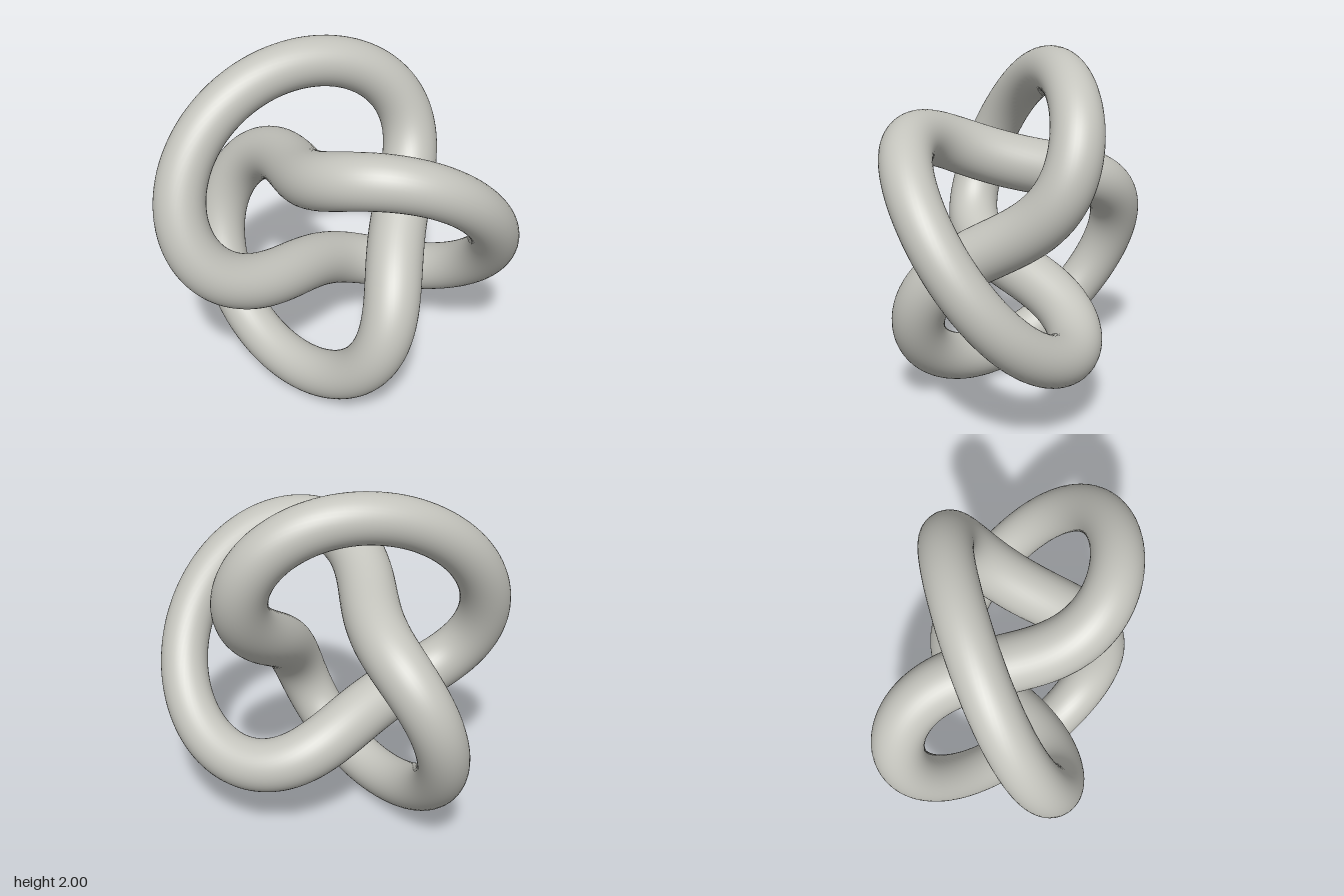
import * as THREE from 'three';
import { ParametricGeometry } from 'three/addons/geometries/ParametricGeometry.js';

// Trefoil path: winds twice round the z axis while circling the ring three times
const RING = 0.646, SWING = 0.2665, DEPTH = 0.443, OFFSET_X = -0.09;

function pathPoint(a, target) {
  const r = RING + SWING * Math.cos(1.5 * a);
  return target.set(
    OFFSET_X + r * Math.cos(a),
    1 + r * Math.sin(a),
    DEPTH * Math.sin(1.5 * a)
  );
}

// Slightly slimmer at the outer lobes, fuller on the inner strands
const tubeRadius = (a) => 0.146 - 0.012 * Math.cos(1.5 * a);

const centre = new THREE.Vector3();
const before = new THREE.Vector3();
const tangent = new THREE.Vector3();
const side = new THREE.Vector3();
const up = new THREE.Vector3();

// Round cross-section held square to the path
function tubeSurface(u, v, target) {
  const a = u * Math.PI * 4;
  const w = v * Math.PI * 2;
  pathPoint(a, centre);
  pathPoint(a - 0.001, before);
  pathPoint(a + 0.001, tangent).sub(before).normalize();
  side.set(tangent.y, -tangent.x, 0).normalize();
  up.crossVectors(side, tangent);
  const r = tubeRadius(a);
  target.copy(centre)
    .addScaledVector(side, r * Math.cos(w))
    .addScaledVector(up, r * Math.sin(w));
}

export function createModel() {
  const group = new THREE.Group();
  group.name = 'trefoilKnot';

  const grey = new THREE.MeshStandardMaterial({ color: 0xc4c4bd });
  grey.name = 'warm grey';

  const knot = new THREE.Mesh(new ParametricGeometry(tubeSurface, 360, 40), grey);
  knot.name = 'knotTube';
  group.add(knot);
  return group;
}
